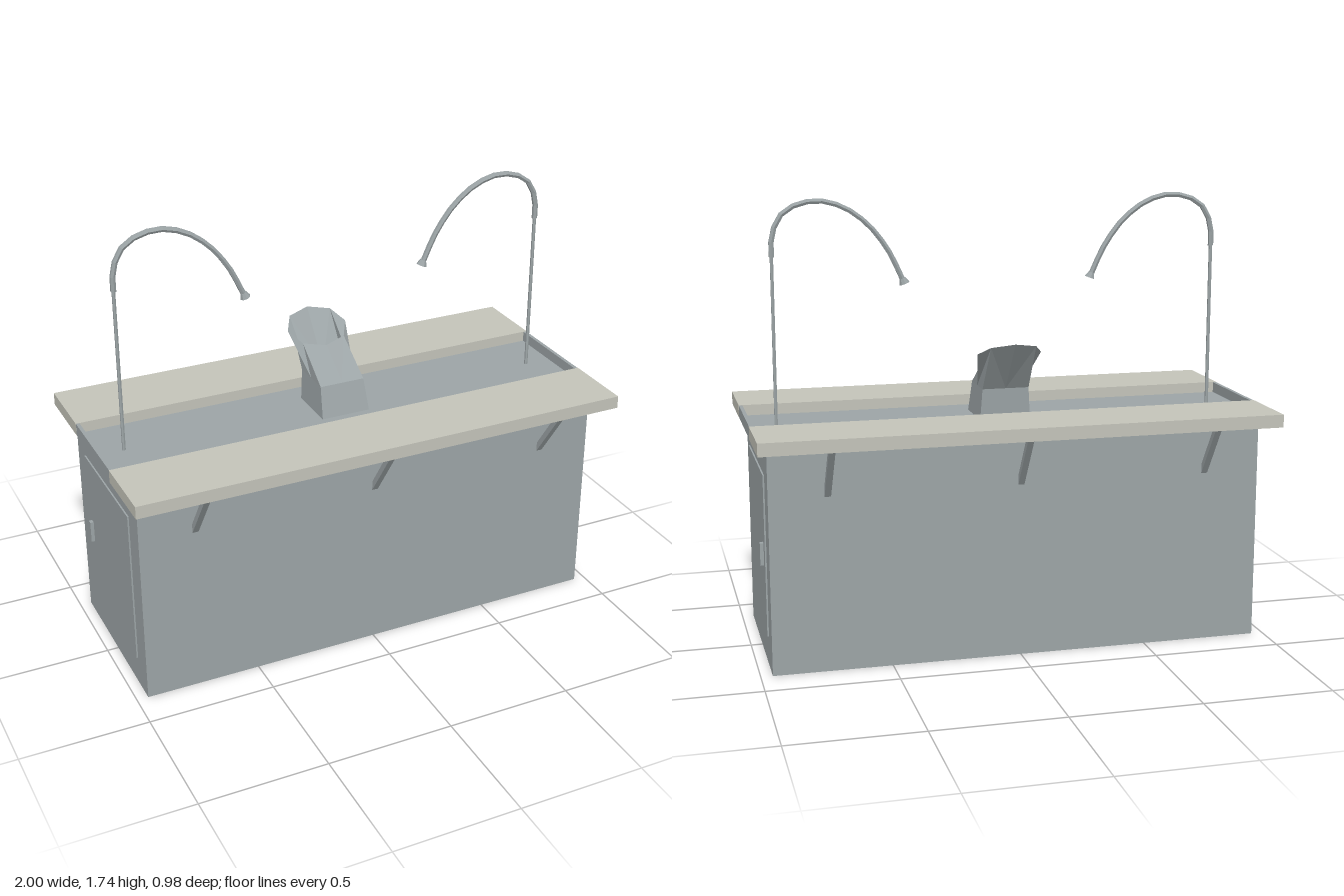
import * as THREE from 'three';

const mat = (name, color, extra = {}) => {
  const m = new THREE.MeshStandardMaterial({ color, ...extra });
  m.name = name;
  return m;
};

export function createModel() {
  const root = new THREE.Group();
  root.name = 'washStation';
  const steel = mat('steelGrey', 0x9ca4a6, { flatShading: true, side: THREE.DoubleSide });
  const stone = mat('paleStone', 0xc3c3b9, { flatShading: true });

  const add = (name, geo, material, parent = root) => {
    const mesh = new THREE.Mesh(geo, material);
    mesh.name = name;
    parent.add(mesh);
    return mesh;
  };
  // Box given by its lower and upper limits
  const box = (name, x0, x1, y0, y1, z0, z1, material, parent) => {
    const mesh = add(name, new THREE.BoxGeometry(x1 - x0, y1 - y0, z1 - z0), material, parent);
    mesh.position.set((x0 + x1) / 2, (y0 + y1) / 2, (z0 + z1) / 2);
    return mesh;
  };

  // Cabinet with the sunken trough floor on top
  box('cabinet', -0.955, 0.955, 0, 0.87, -0.355, 0.355, steel);
  box('troughFloor', -0.99, 0.99, 0.868, 0.878, -0.2, 0.2, steel);

  // Long counter slabs either side of the trough
  for (const s of [-1, 1]) {
    const side = s > 0 ? 'front' : 'back';
    box(side + 'Counter', -1, 1, 0.87, 0.92, s > 0 ? 0.2 : -0.49, s > 0 ? 0.49 : -0.2, stone);

    // Slanted brackets under the overhang
    const shape = new THREE.Shape([
      new THREE.Vector2(0.49, 0.87), new THREE.Vector2(0.463, 0.87),
      new THREE.Vector2(0.355, 0.712), new THREE.Vector2(0.355, 0.675),
    ]);
    for (const x of [-0.735, 0, 0.735]) {
      const geo = new THREE.ExtrudeGeometry(shape, { depth: 0.024, bevelEnabled: false });
      geo.translate(0, 0, -0.012);
      const bracket = add(side + 'Bracket', geo, steel);
      bracket.rotation.y = -s * Math.PI / 2;
      bracket.position.x = x;
    }
  }

  // Ends: trough wall, door with handle, and arched tap
  for (const s of [-1, 1]) {
    const side = s > 0 ? 'left' : 'right';
    const span = (a, b) => (s > 0 ? [a, b] : [-b, -a]);
    box(side + 'TroughEnd', ...span(0.985, 0.999), 0.87, 0.919, -0.2, 0.2, steel);
    box(side + 'Door', ...span(0.95, 0.961), 0.12, 0.745, -0.255, 0.258, steel);
    box(side + 'DoorHandle', ...span(0.955, 0.975), 0.388, 0.475, -0.217, -0.197, steel);

    const tap = new THREE.Group();
    tap.name = side + 'Tap';
    root.add(tap);
    const pole = add('tapPole', new THREE.CylinderGeometry(0.007, 0.007, 0.67, 6), steel, tap);
    pole.position.set(s * 0.877, 1.205, 0);
    const path = new THREE.CatmullRomCurve3([
      [0.877, 1.52], [0.872, 1.61], [0.825, 1.69], [0.715, 1.727],
      [0.61, 1.705], [0.51, 1.635], [0.43, 1.53], [0.38, 1.425],
    ].map(([x, y]) => new THREE.Vector3(s * x, y, 0)));
    add('tapArch', new THREE.TubeGeometry(path, 14, 0.011, 6), steel, tap);
    const head = add('tapHead', new THREE.CylinderGeometry(0.012, 0.021, 0.022, 8), steel, tap);
    head.position.set(s * 0.375, 1.416, 0);
    head.rotation.z = -s * 0.35;
  }

  // Leaning spout: square foot, square waist, tilted eight-sided rim
  const rings = [
    { y: 0.875, w: 0.1, zc: -0.005, d: 0.103, square: true },
    { y: 1.0, w: 0.092, zc: -0.027, d: 0.088, square: true },
    { y: 1.148, w: 0.125, zc: -0.174, d: 0.091, tilt: 0.52 },
  ];
  const pos = [], index = [];
  rings.forEach((r, j) => {
    for (let i = 0; i < 8; i++) {
      const a = (i * Math.PI) / 4;
      const k = r.square && i % 2 ? Math.SQRT2 : 1;
      const dz = Math.cos(a) * r.d * k;
      pos.push(Math.sin(a) * r.w * k, r.y - dz * (r.tilt || 0), r.zc + dz);
      if (j < 2) {
        const n = (i + 1) % 8, p = j * 8;
        // Diagonals run out of the corners so the facets mirror left to right
        if (i % 2) index.push(p + i, p + n, p + 8 + i, p + n, p + 8 + n, p + 8 + i);
        else index.push(p + i, p + n, p + 8 + n, p + i, p + 8 + n, p + 8 + i);
      }
    }
  });
  const spoutGeo = new THREE.BufferGeometry();
  spoutGeo.setAttribute('position', new THREE.Float32BufferAttribute(pos, 3));
  spoutGeo.setIndex(index);
  spoutGeo.computeVertexNormals();
  add('spout', spoutGeo, steel);

  return root;
}
